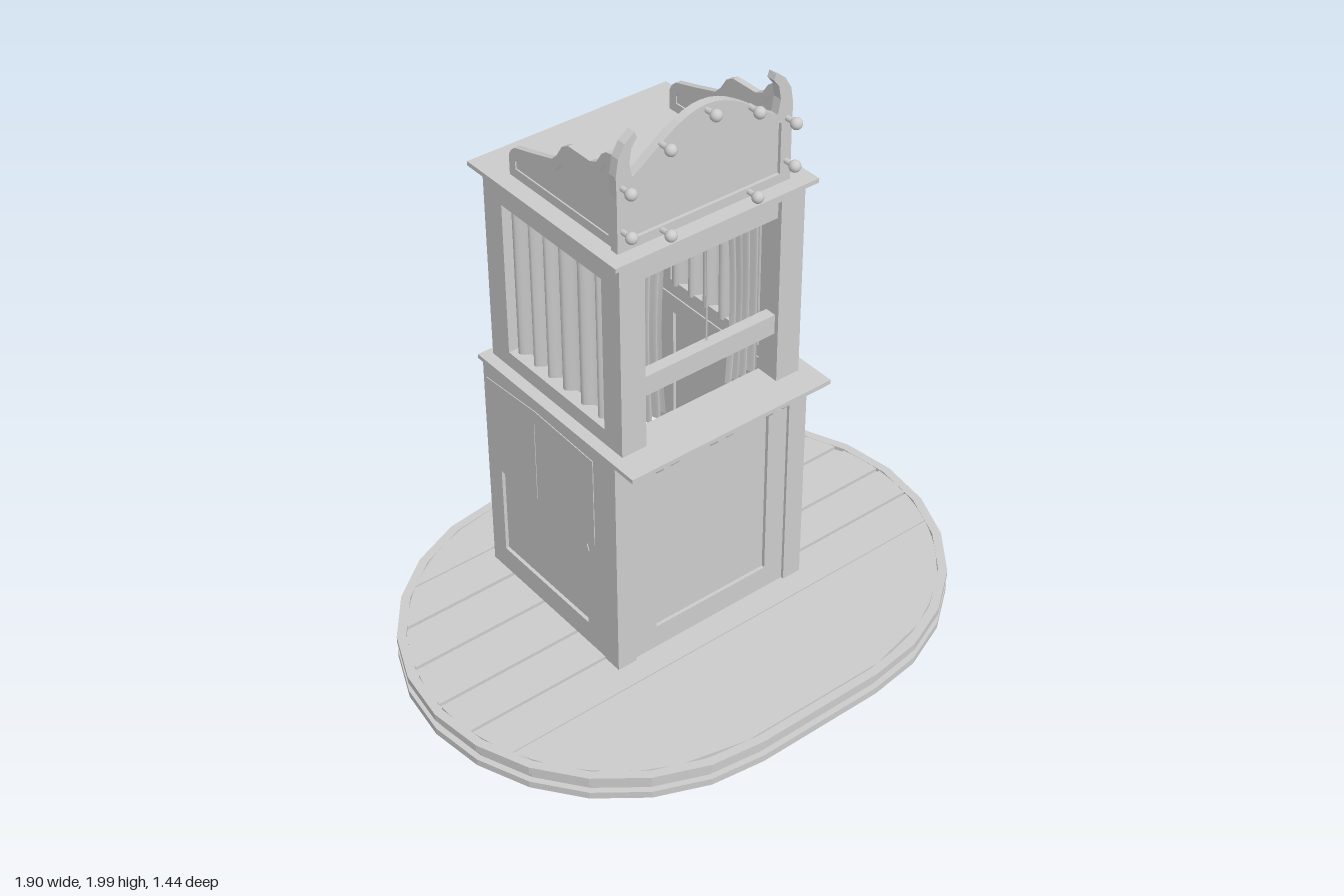
import * as THREE from 'three';

const mat = new THREE.MeshStandardMaterial({ color: 0xcccccc });
const thinMat = new THREE.MeshStandardMaterial({ color: 0xcccccc, side: THREE.DoubleSide });

const add = (parent, name, geo, material = mat) => {
  const m = new THREE.Mesh(geo, material);
  m.name = name;
  parent.add(m);
  return m;
};

// Box given by its limits on each axis
const box = (parent, name, x0, x1, y0, y1, z0, z1) =>
  add(parent, name, new THREE.BoxGeometry(x1 - x0, y1 - y0, z1 - z0)
    .translate((x0 + x1) / 2, (y0 + y1) / 2, (z0 + z1) / 2));

const toPts = a => a.map(p => new THREE.Vector2(p[0], p[1]));
const rect = (a, b, c, d) => [[a, c], [b, c], [b, d], [a, d]];

const slab = (outline, depth, hole) => {
  const s = new THREE.Shape(toPts(outline));
  if (hole) s.holes.push(new THREE.Path(toPts(hole)));
  return new THREE.ExtrudeGeometry(s, { depth, bevelEnabled: false });
};
// Slab drawn in (z, y) whose faces end at x0 - depth and x0
const sideSlab = (outline, depth, x0, hole) =>
  slab(outline, depth, hole).rotateY(-Math.PI / 2).translate(x0, 0, 0);
// Slab drawn in (x, -z) rising from y0
const floorSlab = (outline, depth, y0, hole) =>
  slab(outline, depth, hole).rotateX(-Math.PI / 2).translate(0, y0, 0);

// Oval outline: two half circles joined by straight edges
function oval(r) {
  const pts = [];
  for (const side of [0, 1])
    for (let i = 0; i <= 12; i++) {
      const a = -Math.PI / 2 + side * Math.PI + i / 12 * Math.PI;
      pts.push([(side ? -0.23 : 0.23) + r * Math.cos(a), r * Math.sin(a)]);
    }
  return pts;
}

// Plank cut to the oval between two depths
function plank(z0, z1) {
  const r = 0.685, right = [], left = [];
  for (let i = 0; i <= 8; i++) {
    const z = z0 + (z1 - z0) * i / 8;
    const x = 0.23 + Math.sqrt(Math.max(0, r * r - z * z));
    right.push([x, -z]);
    left.unshift([-x, -z]);
  }
  return right.concat(left).reverse();
}

// Hanging cloth with vertical folds, starting in the xy plane
function cloth(width, height, folds, depth, taper = 0) {
  const g = new THREE.PlaneGeometry(width, height, folds * 10, 6);
  const p = g.attributes.position;
  for (let i = 0; i < p.count; i++) {
    const u = p.getX(i) / width + 0.5, v = p.getY(i) / height + 0.5;
    p.setX(i, p.getX(i) - taper * u * Math.sin(v * Math.PI));
    p.setZ(i, depth * Math.sin(u * folds * 2 * Math.PI + 0.5 * Math.sin(u * 9)));
  }
  g.computeVertexNormals();
  return g;
}

function buildBase(g) {
  add(g, 'baseLowerRim', floorSlab(oval(0.72), 0.025, 0));
  add(g, 'baseBand', floorSlab(oval(0.7), 0.035, 0.025));
  add(g, 'deckBed', floorSlab(oval(0.7), 0.012, 0.06));
  add(g, 'baseUpperRim', floorSlab(oval(0.72), 0.026, 0.06, oval(0.69).reverse()));
  const cuts = [-0.684, -0.52, -0.37, -0.19, -0.02, 0.13, 0.28, 0.684];
  const gaps = [0, 0.003, 0.008, 0.018, 0.008, 0.005, 0.002, 0];
  for (let i = 0; i < 7; i++)
    add(g, 'deckPlank', floorSlab(plank(cuts[i] + gaps[i], cuts[i + 1] - gaps[i + 1]), 0.013, 0.072));
}

function buildLowerBooth(g) {
  const y0 = 0.085, y1 = 0.9;
  // Front wall with a sunken panel
  add(g, 'frontFrame', slab(rect(-0.32, 0.29, y0, y1), 0.04, rect(-0.23, 0.215, 0.17, 0.81).reverse())
    .translate(0, 0, 0.15));
  box(g, 'frontPanel', -0.24, 0.225, 0.16, 0.82, 0.162, 0.178);
  for (const s of [-1, 1]) {
    const outer = -0.015 + s * 0.375, x0 = s > 0 ? outer - 0.004 : outer + 0.044;
    box(g, 'frontPost', Math.min(outer, outer - s * 0.07), Math.max(outer, outer - s * 0.07), y0, y1, 0.13, 0.2);
    add(g, 'sideFrame', sideSlab(rect(-0.48, 0.13, y0, y1), 0.04, x0, rect(-0.41, 0.04, 0.17, 0.81).reverse()));
    add(g, 'sidePanel', sideSlab(rect(-0.42, 0.05, 0.16, 0.82), 0.016, x0 - 0.012));
    // Torn poster in two pieces pasted on the side
    const px = s > 0 ? outer + 0.001 : outer + 0.002;
    add(g, 'poster', sideSlab([[-0.205, 0.495], [-0.05, 0.49], [0.06, 0.485], [0.05, 0.51], [0.09, 0.53],
      [0.09, 0.86], [-0.205, 0.87]], 0.003, px));
    add(g, 'poster', sideSlab([[-0.46, 0.515], [-0.38, 0.505], [-0.208, 0.52], [-0.208, 0.8], [-0.2, 0.87], [-0.46, 0.85]],
      0.003, px));
  }
  // Ledge open to the back
  add(g, 'ledge', floorSlab([[-0.39, 0.5], [-0.39, -0.285], [0.38, -0.285], [0.38, 0.5], [0.28, 0.5],
    [0.28, -0.1], [-0.31, -0.1], [-0.31, 0.5]], 0.015, 0.9));
  // Curved brackets and small pegs under the ledge
  for (const x of [-0.22, -0.01, 0.21])
    add(g, 'ledgeBracket', sideSlab([[0.185, 0.9], [0.185, 0.8], [0.2, 0.805], [0.215, 0.84], [0.245, 0.865],
      [0.275, 0.885], [0.28, 0.9]], 0.025, x + 0.012));
  for (const x of [-0.3, -0.26, -0.1, 0.09, 0.25, 0.3, 0.35])
    add(g, 'ledgePeg', new THREE.SphereGeometry(0.01, 10, 6).translate(x, 0.895, 0.265));
}

function buildUpperBooth(g) {
  const y0 = 0.915, y1 = 1.607;
  for (const s of [-1, 1]) {
    const outer = -0.0075 + s * 0.3425;
    const [a, b] = [outer, outer - s * 0.09].sort((m, n) => m - n);
    box(g, 'frontPost', a, b, y0, y1, 0.1, 0.185);
    const [c, d] = [outer, outer - s * 0.05].sort((m, n) => m - n);
    box(g, 'backPost', c, d, y0, y1, -0.475, -0.385);
    box(g, 'sideBottomRail', c, d, y0, 0.97, -0.385, 0.1);
    box(g, 'sideTopRail', c, d, 1.51, y1, -0.385, 0.1);
    // Side curtain
    add(g, 'sideCurtain', cloth(0.485, 0.56, 6, 0.02).rotateY(Math.PI / 2)
      .translate(outer - s * 0.04, 1.24, -0.1425), thinMat);
    // Front curtain drawn aside
    const w = s < 0 ? 0.15 : 0.125;
    const cur = add(g, 'frontCurtain', cloth(w, 0.61, 4, 0.016, 0.015), thinMat);
    cur.position.set(s < 0 ? -0.185 : 0.188, 1.21, 0.085);
    if (s > 0) cur.rotation.y = Math.PI;
  }
  box(g, 'frontTopRail', -0.26, 0.245, 1.57, y1, 0.12, 0.185);
  box(g, 'valance', -0.26, 0.245, 1.505, 1.57, 0.12, 0.17);
  box(g, 'stageRail', -0.26, 0.245, 1.087, 1.157, 0.13, 0.17);
  add(g, 'cord', new THREE.CylinderGeometry(0.003, 0.003, 0.35, 6).translate(0.003, 1.33, 0.14));
  box(g, 'roof', -0.385, 0.36, 1.604, 1.619, -0.5, 0.215);
}

function buildSign(g) {
  const cx = -0.022, y0 = 1.619;
  // Arched outline at a half width, side height and peak height
  const arch = (w, bottom, side, peak) => {
    const pts = [[cx - w, bottom], [cx + w, bottom]];
    for (let i = 0; i <= 20; i++) {
      const t = 1 - i / 10;
      const rise = Math.pow(0.5 + 0.5 * Math.cos(t * Math.PI), 0.75);
      pts.push([cx + t * w, side + (peak - side) * rise]);
    }
    return pts;
  };
  add(g, 'signFrame', slab(arch(0.315, y0, 1.83, 1.985), 0.03, arch(0.275, 1.65, 1.825, 1.955).reverse())
    .translate(0, 0, 0.133));
  add(g, 'signPanel', slab(arch(0.285, 1.64, 1.825, 1.965), 0.014).translate(0, 0, 0.138));
  for (const s of [-1, 1]) {
    // Curled horn at each end
    const horn = [[0.315, 1.8], [0.317, 1.87], [0.308, 1.925], [0.285, 1.965], [0.25, 1.99], [0.243, 1.97],
      [0.262, 1.945], [0.27, 1.9], [0.262, 1.86], [0.255, 1.83]].map(p => [cx + s * p[0], p[1]]);
    add(g, 'signHorn', slab(horn, 0.03).translate(0, 0, 0.133));
    // Scrolled side board with a sunken panel
    const top = [[-0.365, 1.685], [-0.355, 1.705], [-0.335, 1.722], [-0.24, 1.748], [-0.15, 1.775], [-0.125, 1.8],
      [-0.1, 1.838], [-0.07, 1.855], [0.03, 1.855], [0.06, 1.868], [0.085, 1.905], [0.105, 1.92], [0.135, 1.925]];
    const inner = [[-0.335, 1.675], [-0.32, 1.69], [-0.23, 1.715], [-0.135, 1.745], [-0.105, 1.775],
      [-0.085, 1.81], [-0.06, 1.823], [0.035, 1.823], [0.075, 1.845], [0.095, 1.875], [0.11, 1.885]];
    const x0 = s > 0 ? 0.287 : -0.307;
    add(g, 'signSide', sideSlab([...top, [0.135, y0], [-0.365, y0]].reverse(), 0.02, x0,
      [...inner, [0.11, 1.65], [-0.335, 1.65]]));
    add(g, 'signSidePanel', sideSlab([...inner, [0.11, 1.65], [-0.335, 1.65]].reverse(), 0.01, x0 - 0.005));
  }
  // Round bulbs on short stems
  const bulbs = [[0, 1.967]];
  for (const s of [-1, 1]) bulbs.push([s * 0.158, 1.917], [s * 0.296, 1.83], [s * 0.296, 1.688], [s * 0.158, 1.638]);
  for (const [x, y] of bulbs) {
    add(g, 'bulb', new THREE.SphereGeometry(0.019, 16, 10).translate(cx + x, y, 0.203));
    add(g, 'bulbStem', new THREE.CylinderGeometry(0.009, 0.009, 0.035, 10).rotateX(Math.PI / 2)
      .translate(cx + x, y, 0.175));
  }
}

// Crumpled sheet lying on the deck
function buildLooseSheet(g) {
  const geo = new THREE.PlaneGeometry(0.34, 0.31, 8, 8).rotateX(-Math.PI / 2);
  const p = geo.attributes.position;
  for (let i = 0; i < p.count; i++) {
    const x = p.getX(i), z = p.getZ(i);
    p.setY(i, 0.008 + 0.005 * Math.sin(x * 22) * Math.cos(z * 17) + 0.045 * Math.max(0, -x - 0.08) * Math.max(0, -z) * 30);
  }
  geo.computeVertexNormals();
  const sheet = add(g, 'looseSheet', geo, thinMat);
  sheet.position.set(0.535, 0.088, -0.42);
  sheet.rotation.y = -1.08;
}

export function createModel() {
  const model = new THREE.Group();
  model.name = 'puppetBooth';
  const parts = { base: buildBase, lowerBooth: buildLowerBooth, upperBooth: buildUpperBooth, sign: buildSign, litter: buildLooseSheet };
  for (const [name, build] of Object.entries(parts)) {
    const group = new THREE.Group();
    group.name = name;
    build(group);
    model.add(group);
  }
  return model;
}
